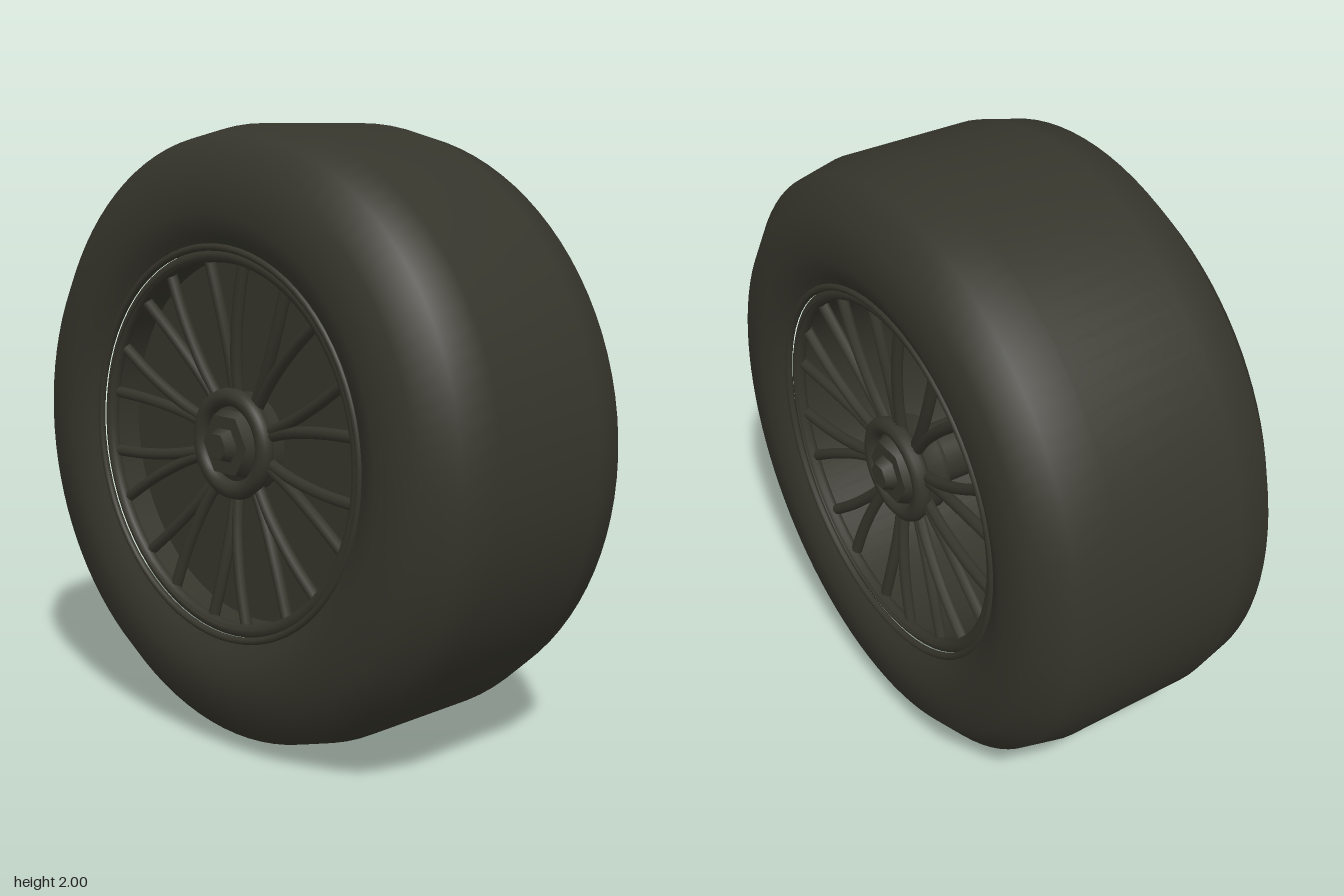
import * as THREE from 'three';

export function createModel() {
  const wheel = new THREE.Group();
  wheel.name = 'wheel';
  const rubber = new THREE.MeshStandardMaterial({ color: 0x36352c });
  rubber.name = 'darkOlive';

  const add = (parent, name, geometry) => {
    const mesh = new THREE.Mesh(geometry, rubber);
    mesh.name = name;
    parent.add(mesh);
    return mesh;
  };
  // Profile of [radius, x] pairs, spun about the x axis
  const spin = (profile, segments = 72) =>
    new THREE.LatheGeometry(profile.map(([r, x]) => new THREE.Vector2(r, x)), segments).rotateZ(-Math.PI / 2);

  // Tyre: mirrored cross-section
  const half = [[0.62, 0.405], [0.66, 0.425], [0.73, 0.455], [0.87, 0.44], [0.97, 0.355], [1, 0.22]];
  const left = half.map(([r, x]) => [r, -x]);
  add(wheel, 'tyre', spin([...left, ...half.slice().reverse()], 96));

  // Rim barrel, open towards +x, with a backing disc on the -x side
  add(wheel, 'rimBarrel', spin([[0.59, 0.41], [0.59, -0.25]]).scale(1, 1, 1)).material = rubber;
  add(wheel, 'innerDisc', spin([[0.6, -0.25], [0, -0.25]]));
  add(wheel, 'outerDisc', spin([[0, -0.28], [0.6, -0.28]]));
  add(wheel, 'outerBarrel', spin([[0.59, -0.28], [0.59, -0.41]]));

  // One curved spoke tine, bending away from the shared stem
  const tine = (side) => new THREE.TubeGeometry(new THREE.CatmullRomCurve3([
    new THREE.Vector3(0.335, 0.14, -side * 0.006),
    new THREE.Vector3(0.35, 0.27, -side * 0.014),
    new THREE.Vector3(0.365, 0.43, -side * 0.042),
    new THREE.Vector3(0.375, 0.605, -side * 0.088),
  ]), 14, 0.019, 8);
  const tines = [tine(1), tine(-1)];

  const ring = (r, t, x) => new THREE.TorusGeometry(r, t, 10, 72).rotateY(Math.PI / 2).translate(x, 0, 0);
  // Hexagonal frustum pointing along +x, corners towards +z and -z
  const hex = (rTop, rBase, x0, x1) =>
    new THREE.CylinderGeometry(rTop, rBase, x1 - x0, 6).toNonIndexed()
      .rotateZ(-Math.PI / 2).translate((x0 + x1) / 2, 0, 0);

  // Spoked face, repeated on both sides
  for (const [name, turn] of [['leftFace', 0], ['rightFace', Math.PI]]) {
    const face = new THREE.Group();
    face.name = name;
    face.rotation.y = turn;
    wheel.add(face);

    add(face, 'rimLip', ring(0.625, 0.012, 0.41));
    add(face, 'rimRing', ring(0.598, 0.022, 0.385));
    for (let i = 0; i < 10; i++) {
      const spoke = new THREE.Group();
      spoke.name = 'spoke' + (i + 1);
      spoke.rotation.x = (i * Math.PI) / 5;
      face.add(spoke);
      tines.forEach((geometry) => add(spoke, 'tine', geometry));
    }
    add(face, 'hubRing', ring(0.15, 0.03, 0.355));
    add(face, 'hubBody', spin([[0.15, 0.25], [0.16, 0.27], [0.155, 0.35], [0, 0.35]], 40));
    add(face, 'hubNut', hex(0.105, 0.125, 0.34, 0.39));
    add(face, 'hubCap', hex(0.045, 0.062, 0.385, 0.425));
    add(face, 'axle', new THREE.CylinderGeometry(0.1, 0.1, 0.56, 24).rotateZ(Math.PI / 2));
  }

  wheel.position.y = 1;
  const model = new THREE.Group();
  model.name = 'wheelModel';
  model.add(wheel);
  return model;
}
